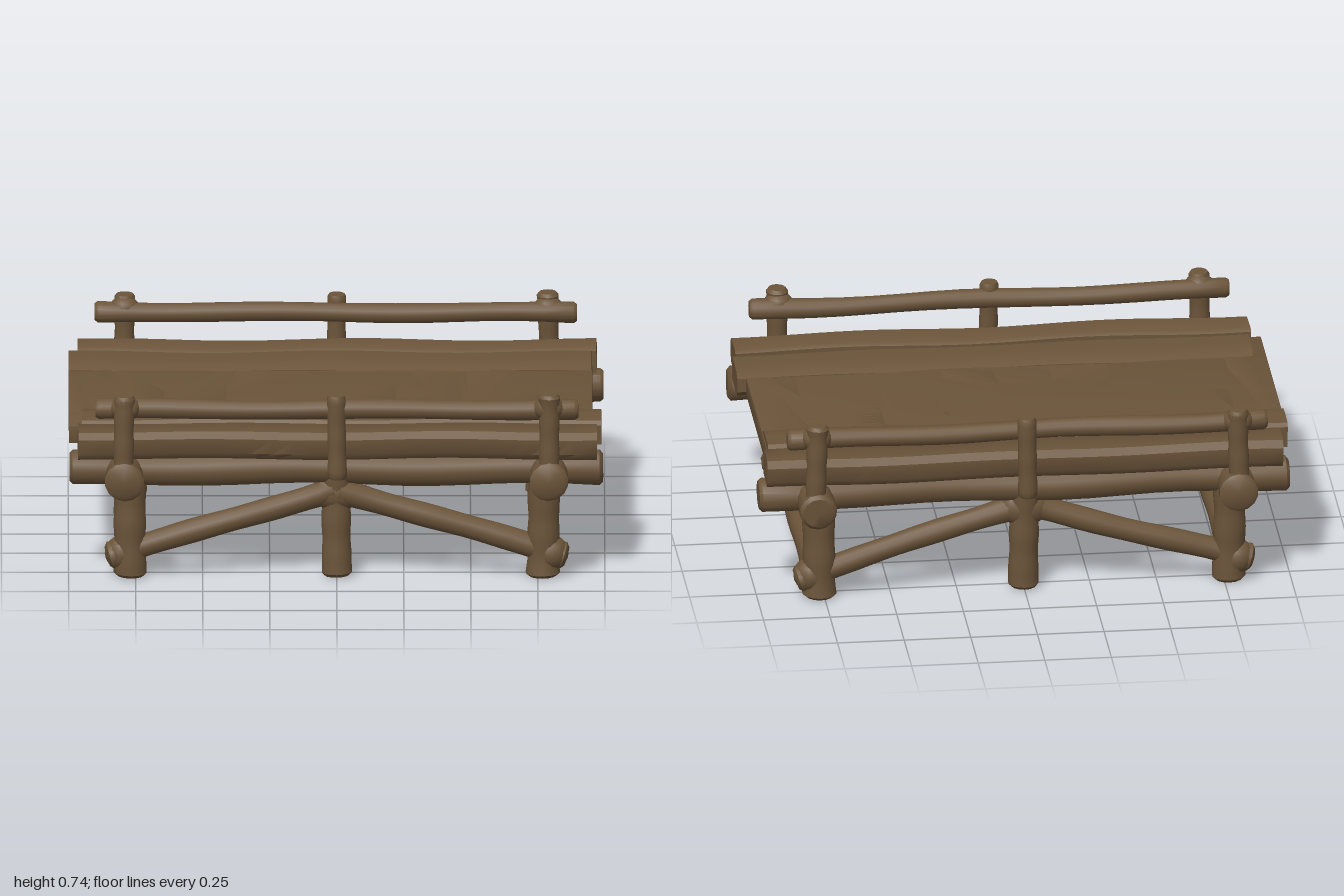
import * as THREE from 'three';
import { toCreasedNormals } from 'three/addons/utils/BufferGeometryUtils.js';

const wood = new THREE.MeshStandardMaterial({ color: 0x6b543a });
wood.name = 'brown wood';

// Gentle hand-hewn unevenness, a smooth function of position
function wobble(geo, amount, seed) {
  const p = geo.attributes.position;
  for (let i = 0; i < p.count; i++) {
    const x = p.getX(i), y = p.getY(i), z = p.getZ(i);
    p.setXYZ(i,
      x + amount * 0.5 * Math.sin(9 * y + 7 * z + seed),
      y + amount * Math.sin(7 * x + 5 * z + seed * 2),
      z + amount * Math.sin(6 * x + 8 * y + seed * 3));
  }
  return geo;
}

export function createModel() {
  const model = new THREE.Group();
  model.name = 'woodenBridge';

  function add(name, geo) {
    const mesh = new THREE.Mesh(geo, wood);
    mesh.name = name;
    model.add(mesh);
    return mesh;
  }

  // Log between two points, slightly flared towards its blunt ends
  function log(name, from, to, radius, flare = 0.08, seed = 1) {
    const a = new THREE.Vector3(...from), b = new THREE.Vector3(...to);
    const len = a.distanceTo(b), steps = 16;
    const profile = [new THREE.Vector2(0, -len / 2), new THREE.Vector2(radius * 0.85, -len / 2)];
    for (let i = 0; i <= steps; i++) {
      const t = i / steps;
      const r = radius * (1 + flare * Math.abs(2 * t - 1) ** 6 + 0.03 * Math.sin(t * 17 + seed));
      profile.push(new THREE.Vector2(r, (t - 0.5) * (len - 0.025)));
    }
    profile.push(new THREE.Vector2(radius * 0.85, len / 2), new THREE.Vector2(0, len / 2));
    const geo = new THREE.LatheGeometry(profile, 14);
    const dir = b.clone().sub(a).normalize();
    geo.applyQuaternion(new THREE.Quaternion().setFromUnitVectors(new THREE.Vector3(0, 1, 0), dir));
    geo.translate(...a.add(b).multiplyScalar(0.5).toArray());
    return add(name, toCreasedNormals(wobble(geo, 0.004, seed), 0.75));
  }

  // Timber running along x with a (z, y) cross-section
  function timber(name, section, x0, x1, seed) {
    const shape = new THREE.Shape(section.map(([z, y]) => new THREE.Vector2(-z, y)));
    const geo = new THREE.ExtrudeGeometry(shape, { depth: x1 - x0, steps: 24, bevelEnabled: false });
    geo.rotateY(Math.PI / 2).translate(x0, 0, 0);
    return add(name, toCreasedNormals(wobble(geo, 0.004, seed), 0.7));
  }

  // Rounded lump where members meet
  function joint(name, x, y, z, sx, sy, sz) {
    add(name, new THREE.SphereGeometry(1, 14, 10).scale(sx, sy, sz).translate(x, y, z));
  }

  for (const s of [1, -1]) {
    const z = 0.54 * s;
    // Long bearer, curb and handrail on each side
    log('sideBeam', [-0.995, 0.415, z], [0.995, 0.415, z], 0.062, 0.05, 2 + s);
    const a = 0.477 * s, b = 0.63 * s;
    timber('curb', [[a, 0.475], [a, 0.562], [a + 0.015 * s, 0.573], [b - 0.025 * s, 0.573],
      [b, 0.55], [b, 0.495], [b - 0.02 * s, 0.47]], -0.965, 0.97, 3 + s);
    log('handrail', [-0.9, 0.672, 0.635 * s], [0.9, 0.668, 0.635 * s], 0.036, 0.1, 4 + s);
    // Centre leg and centre rail post
    log('middleLeg', [0, 0, z], [0, 0.4, z], 0.055, 0.08, 5);
    log('middlePost', [0, 0.41, 0.665 * s], [0, 0.73, 0.66 * s], 0.035, 0.05, 6);
    joint('braceJoint', 0, 0.32, z, 0.1, 0.07, 0.056);

    for (const m of [1, -1]) {
      // Corner legs, rail posts and diagonal braces
      const x = 0.77 * m;
      log('cornerLeg', [x, 0, z], [x, 0.42, z], 0.06, 0.06, 7 + m);
      log('railPost', [0.795 * m, 0.4, 0.675 * s], [0.79 * m, 0.735, 0.668 * s], 0.038, 0.08, 8 + m);
      joint('railJoint', 0.79 * m, 0.68, 0.652 * s, 0.058, 0.048, 0.048);
      log('diagonalBrace', [0.855 * m, 0.07, z], [0, 0.335, z], 0.044, 0.2, 9 + m);
      joint('footJoint', 0.8 * m, 0.085, z, 0.065, 0.066, 0.062);
    }
  }

  for (const m of [1, -1]) {
    // Cross beams carrying the deck, and low ties between legs
    log('crossBeam', [0.79 * m, 0.41, -0.725], [0.79 * m, 0.41, 0.725], 0.067, 0.08, 10 + m);
    log('lowTie', [0.78 * m, 0.1, -0.575], [0.78 * m, 0.1, 0.575], 0.05, 0.1, 12 + m);
  }

  // Deck boards: [x at back, x at front, z back, z front, width] of each open seam
  const seams = [
    [-0.83, -0.835, -0.27, 0.25, 0.016], [-0.628, -0.643, -0.25, 0.24, 0.014],
    [-0.39, -0.405, -0.27, 0.25, 0.022], [-0.175, -0.175, 0.09, 0.24, 0.01],
    [0.02, 0.028, 0.08, 0.24, 0.016], [0.228, 0.234, -0.24, 0.26, 0.02],
    [0.475, 0.482, -0.27, 0.25, 0.024], [0.768, 0.76, -0.25, 0.25, 0.02],
  ];
  const deck = new THREE.Shape([[-0.995, -0.44], [0.95, -0.44], [0.95, 0.455], [-0.995, 0.455]]
    .map(([x, y]) => new THREE.Vector2(x, y)));
  deck.setFromPoints([[-0.995, -0.27], [-0.95, -0.29], [-0.95, -0.43], [0.95, -0.43], [0.95, 0.455], [-0.995, 0.455]]
    .map(([x, y]) => new THREE.Vector2(x, y)));
  for (const [xb, xf, zb, zf, w] of seams) {
    const h = w / 2, zm = zb + 0.04;
    deck.holes.push(new THREE.Path([[xb, -zb], [xb + h, -zm], [xf + h, -zf + 0.02], [xf, -zf],
      [xf - h, -zf + 0.02], [xb - h, -zm]].map(([x, y]) => new THREE.Vector2(x, y))));
  }
  const boards = new THREE.ExtrudeGeometry(deck, {
    depth: 0.06, bevelThickness: 0.006, bevelSize: 0.004, bevelSegments: 2,
  });
  add('deckBoards', toCreasedNormals(boards.rotateX(-Math.PI / 2).translate(0, 0.487, 0), 0.6));

  // Raised boards along both deck edges, sloping softly into the middle
  timber('frontDeckBand', [[0.25, 0.5], [0.25, 0.553], [0.285, 0.57], [0.35, 0.574], [0.43, 0.57],
    [0.444, 0.555], [0.444, 0.48], [0.27, 0.48]], -0.95, 0.985, 1);
  timber('backDeckBand', [[-0.26, 0.5], [-0.26, 0.553], [-0.3, 0.57], [-0.36, 0.575], [-0.445, 0.573],
    [-0.458, 0.56], [-0.458, 0.48], [-0.28, 0.48]], -0.998, 0.952, 2);

  return model;
}
